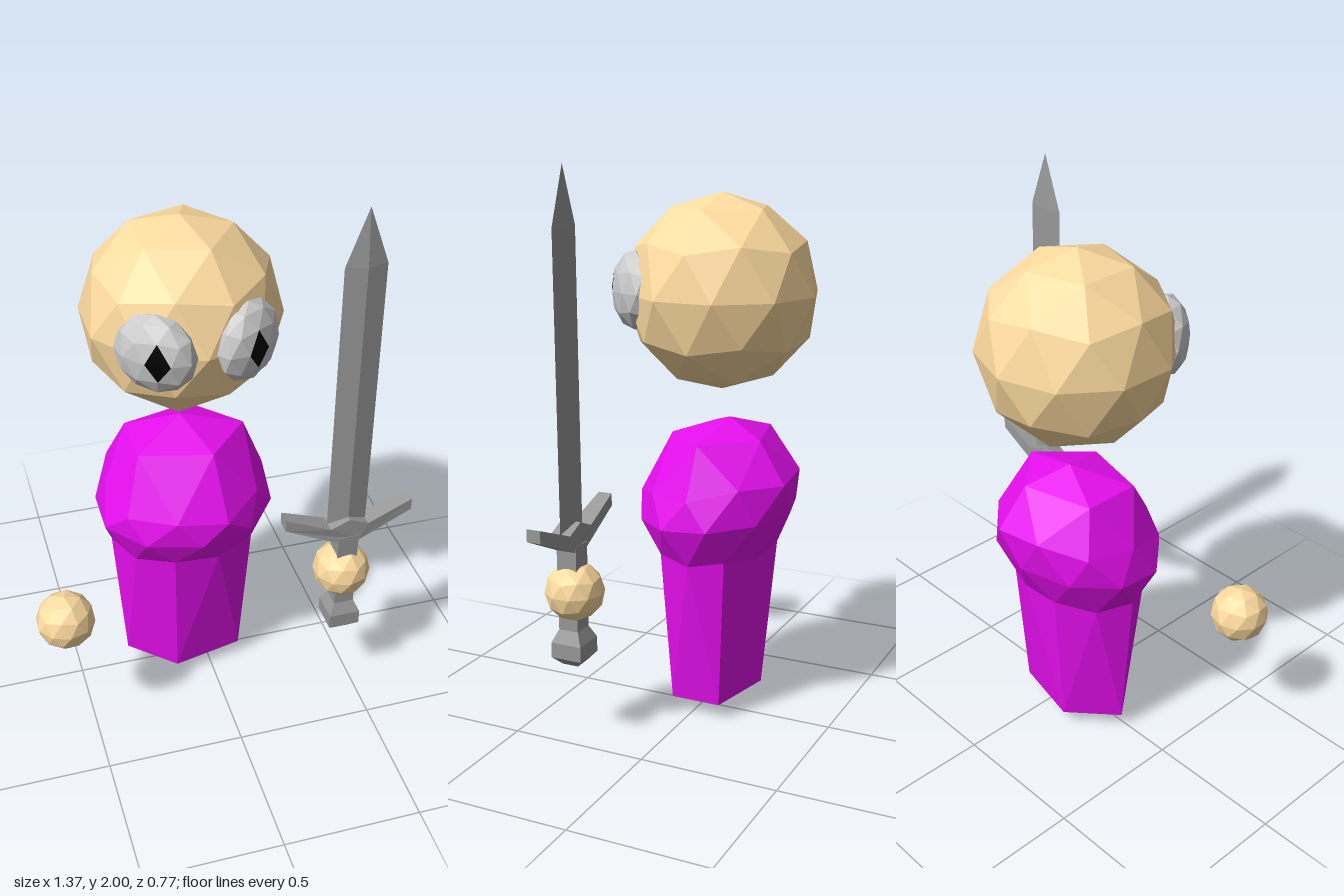
import * as THREE from 'three';

const mat = (color) => new THREE.MeshStandardMaterial({ color, flatShading: true });
const skin = mat(0xffdca0), cloth = mat(0xe60fee), steel = mat(0x999999);
const white = mat(0xcccccc), black = mat(0x000000);

function add(parent, name, geometry, material, x = 0, y = 0, z = 0) {
  const mesh = new THREE.Mesh(geometry, material);
  mesh.name = name;
  mesh.position.set(x, y, z);
  parent.add(mesh);
  return mesh;
}

// 80-sided ball with its poles on the y axis
function ball(radius) {
  const g = new THREE.IcosahedronGeometry(radius, 1);
  g.rotateZ(-Math.atan(2 / (1 + Math.sqrt(5))));
  return g;
}

// Body: each ring of the ball is moved and stretched to its own level
function bodyGeometry() {
  // unit height, y, centre z, x scale, z scale, backward tilt
  const levels = [
    [-1, 0.005, -0.02, 0, 0, 0],
    [-0.85, 0.065, -0.025, 0.447, 0.3, 0],
    [-0.49, 0.615, -0.028, 0.31, 0.235, 0],
    [0, 0.75, -0.035, 0.33, 0.275, 0.07],
    [0.49, 0.865, -0.043, 0.34, 0.33, 0.14],
    [0.85, 1.04, -0.05, 0.437, 0.342, 0],
    [1, 1.1, -0.075, 0, 0, 0],
  ];
  const g = ball(1), p = g.attributes.position;
  for (let i = 0; i < p.count; i++) {
    const u = p.getY(i);
    const [h, y, cz, sx, sz, tilt] = levels.reduce((a, b) =>
      Math.abs(b[0] - u) < Math.abs(a[0] - u) ? b : a);
    const z = p.getZ(i) * sz;
    p.setXYZ(i, p.getX(i) * sx, y + (u - h) * 0.25 - tilt * z, cz + z);
  }
  g.computeVertexNormals();
  return g;
}

// Eye: a flattened ball whose two inner front faces form the pupil
function makeEye(side) {
  const p = ball(1).attributes.position;
  const parts = { eyeball: [], pupil: [] };
  for (let i = 0; i < p.count; i += 3) {
    const c = new THREE.Vector3(), corners = [];
    for (let k = i; k < i + 3; k++) {
      const v = new THREE.Vector3().fromBufferAttribute(p, k);
      c.add(v);
      corners.push(v.x * 0.145, v.y * 0.14, v.z * 0.08);
    }
    c.divideScalar(3);
    const angle = THREE.MathUtils.radToDeg(Math.atan2(c.x, c.z));
    const isPupil = Math.abs(angle + 18) < 5 && Math.abs(c.y) < 0.3;
    parts[isPupil ? 'pupil' : 'eyeball'].push(...corners);
  }
  const eye = new THREE.Group();
  eye.name = side > 0 ? 'leftEye' : 'rightEye';
  for (const name in parts) {
    const g = new THREE.BufferGeometry();
    g.setAttribute('position', new THREE.Float32BufferAttribute(parts[name], 3));
    g.rotateY(THREE.MathUtils.degToRad(40));
    g.computeVertexNormals();
    add(eye, name, g, name === 'pupil' ? black : white);
  }
  eye.scale.x = side;
  eye.position.set(-0.0725 + side * 0.153, 1.555, 0.224);
  return eye;
}

function makeSword() {
  const sword = new THREE.Group();
  sword.name = 'sword';

  // Blade: thin diamond section with a pointed tip
  const blade = new THREE.LatheGeometry(
    [[0, 0.74], [0.073, 0.74], [0.073, 1.8], [0, 2]].map((a) => new THREE.Vector2(...a)), 4);
  blade.scale(1, 1, 0.25);
  add(sword, 'blade', blade, steel);

  // Guard: upswept arms that grow thinner toward the ends
  const outline = [[-0.238, 0.8], [-0.04, 0.71], [0.04, 0.71], [0.238, 0.8],
    [0.238, 0.845], [0.07, 0.778], [0, 0.808], [-0.07, 0.778], [-0.238, 0.845]];
  const guard = new THREE.ExtrudeGeometry(
    new THREE.Shape(outline.map((a) => new THREE.Vector2(...a))),
    { depth: 0.074, bevelEnabled: false });
  guard.translate(0, 0, -0.037);
  const p = guard.attributes.position;
  for (let i = 0; i < p.count; i++) {
    if (Math.abs(p.getX(i)) > 0.2) p.setZ(i, p.getZ(i) * 0.7);
  }
  guard.computeVertexNormals();
  add(sword, 'guard', guard, steel);

  // Grip and pommel: one square profile
  const profile = [[0, 0.29], [0.03, 0.29], [0.058, 0.32], [0.058, 0.375],
    [0.037, 0.42], [0.038, 0.73], [0, 0.73]];
  const grip = new THREE.LatheGeometry(
    profile.map(([r, y]) => new THREE.Vector2(r * Math.SQRT2, y)), 4, Math.PI / 4);
  add(sword, 'gripAndPommel', grip, steel);

  sword.position.set(0.445, 0, 0.287);
  return sword;
}

export function createModel() {
  const model = new THREE.Group();
  model.name = 'figure';
  add(model, 'head', ball(0.346), skin, -0.0725, 1.546, -0.042);
  add(model, 'body', bodyGeometry(), cloth, -0.0725);
  add(model, 'leftHand', ball(0.105), skin, 0.442, 0.555, 0.281);
  add(model, 'rightHand', ball(0.105), skin, -0.587, 0.555, 0.281);
  for (const side of [-1, 1]) model.add(makeEye(side));
  model.add(makeSword());
  return model;
}
